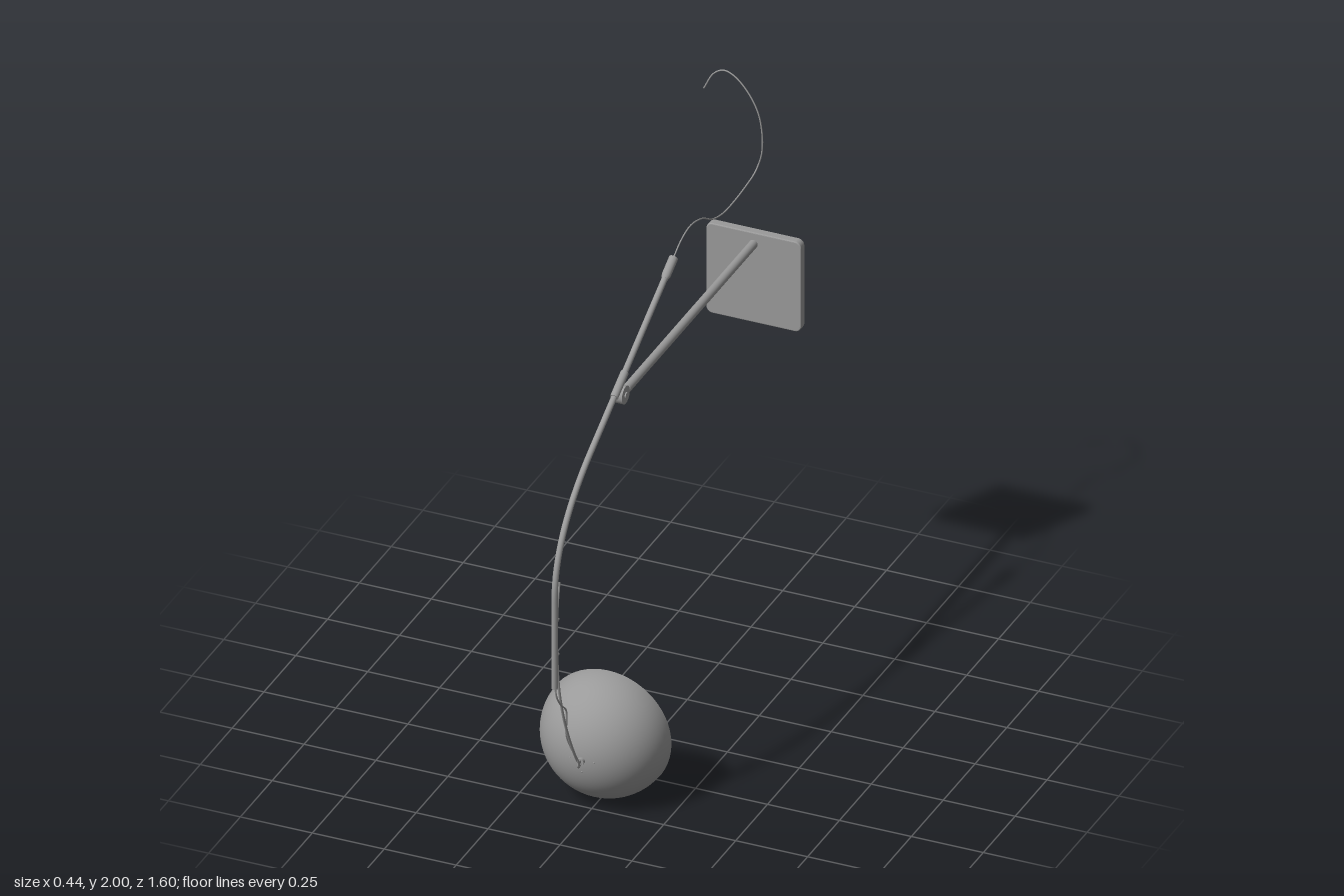
import * as THREE from 'three';

const material = new THREE.MeshStandardMaterial({ color: 0x9a9a9a });
const V = (x, y, z) => new THREE.Vector3(x, y, z);

export function createModel() {
  const model = new THREE.Group();
  const add = (name, geometry, parent = model) => {
    const mesh = new THREE.Mesh(geometry, material);
    mesh.name = name;
    parent.add(mesh);
    return mesh;
  };
  // Round bar between two points
  const rod = (name, a, b, r, r2 = r, sides = 20) => {
    const mesh = add(name, new THREE.CylinderGeometry(r2, r, a.distanceTo(b), sides));
    mesh.position.copy(a).add(b).multiplyScalar(0.5);
    mesh.quaternion.setFromUnitVectors(V(0, 1, 0), b.clone().sub(a).normalize());
  };
  // Smooth wire through [x, y, z] points
  const wire = (name, points, r, segments = 80) =>
    add(name, new THREE.TubeGeometry(new THREE.CatmullRomCurve3(points.map(p => V(...p))), segments, r, 8));

  // Wall plate with rounded corners
  const w = 0.165, c = 0.022, plate = new THREE.Shape();
  plate.absarc(w - c, w - c, c, 0, Math.PI / 2);
  plate.absarc(c - w, w - c, c, Math.PI / 2, Math.PI);
  plate.absarc(c - w, c - w, c, Math.PI, Math.PI * 1.5);
  plate.absarc(w - c, c - w, c, Math.PI * 1.5, Math.PI * 2);
  add('wallPlate', new THREE.ExtrudeGeometry(plate, {
    depth: 0.022, bevelThickness: 0.004, bevelSize: 0.004, bevelOffset: -0.004, bevelSegments: 3, curveSegments: 8,
  })).position.set(0, 1.276, -0.796);

  // Horizontal arm and its pivot
  rod('wallArm', V(0, 1.4, -0.775), V(0, 1.4, 0.225), 0.0148);
  rod('armTip', V(0, 1.4, 0.225), V(0, 1.4, 0.245), 0.0148, 0.009);
  rod('pivotDisc', V(-0.014, 1.4, 0.264), V(0.014, 1.4, 0.264), 0.031, 0.031, 32);
  rod('pivotBolt', V(-0.018, 1.4, 0.264), V(0.018, 1.4, 0.264), 0.01);

  // Bent boom: vertical drop, wide bend, straight slope
  const boomEnd = V(0, 1.677, -0.13), bendTop = V(0, 1.316, 0.51), bendLow = V(0, 0.92, 0.792);
  const boom = new THREE.CurvePath();
  boom.add(new THREE.LineCurve3(V(0, 0.6, 0.792), bendLow));
  boom.add(new THREE.CubicBezierCurve3(bendLow, V(0, 1.1, 0.792), V(0, 1.225, 0.67), bendTop));
  boom.add(new THREE.LineCurve3(bendTop, boomEnd));
  add('boom', new THREE.TubeGeometry(boom, 120, 0.0102, 14));
  rod('boomFoot', V(0, 0.599, 0.792), V(0, 0.605, 0.792), 0.0102);
  const onSlope = t => bendTop.clone().lerp(boomEnd, t);
  rod('boomSleeve', onSlope(0.29), onSlope(0.42), 0.0135);
  rod('boomGrip', onSlope(0.93), onSlope(1.02), 0.015);
  rod('gripCollar', onSlope(0.91), onSlope(0.93), 0.011, 0.015);

  // Power cord trailing to the wall, then curling up it
  wire('powerCord', [
    [0, 1.684, -0.14], [0, 1.717, -0.2], [0, 1.732, -0.27], [0, 1.712, -0.36], [0, 1.663, -0.45],
    [0, 1.641, -0.53], [0, 1.638, -0.62], [0, 1.646, -0.72], [0, 1.655, -0.775], [0.004, 1.675, -0.797],
    [0.016, 1.72, -0.798], [0.018, 1.79, -0.798], [0.003, 1.87, -0.798], [-0.035, 1.94, -0.798],
    [-0.08, 1.985, -0.798], [-0.115, 1.997, -0.798], [-0.15, 1.978, -0.798], [-0.185, 1.915, -0.798],
  ], 0.0025, 160);

  // Springy stem carrying the shade, clipped to the boom
  wire('shadeStem', [
    [0, 0.972, 0.755], [0, 0.9, 0.768], [0, 0.8, 0.775], [0, 0.7, 0.772], [0, 0.58, 0.758],
    [0, 0.46, 0.724], [0, 0.35, 0.677], [0, 0.26, 0.628], [0, 0.22, 0.6],
  ], 0.0045);
  for (const y of [0.84, 0.712]) {
    rod('stemClip', V(0, y, 0.792), V(0, y, 0.764), 0.005);
  }
  wire('lampCord', [
    [0, 0.605, 0.79], [0.002, 0.56, 0.78], [0.005, 0.52, 0.755], [0.007, 0.48, 0.718], [0.002, 0.43, 0.703],
    [-0.006, 0.37, 0.687], [-0.004, 0.31, 0.657], [0.003, 0.25, 0.622], [0.003, 0.215, 0.604], [0, 0.22, 0.575],
  ], 0.003);
  const eye = add('stemEye', new THREE.TorusGeometry(0.01, 0.0035, 8, 24));
  eye.position.set(0, 0.217, 0.6);
  eye.rotation.y = Math.PI / 2;

  // Thin hemispherical shade opening to the back
  const lamp = new THREE.Group();
  lamp.name = 'lampHead';
  lamp.position.set(0, 0.22, 0.37);
  lamp.rotation.x = Math.PI / 2;
  model.add(lamp);
  const R = 0.2195, inner = 0.2155, N = 28;
  const dome = (radius, depth) => Array.from({ length: N + 1 }, (_, i) => {
    const a = (i / N) * Math.PI / 2;
    return new THREE.Vector2(radius * Math.sin(a), depth * Math.cos(a));
  });
  add('shadeInside', new THREE.LatheGeometry(dome(inner, 0.206), 56), lamp);
  add('shadeOutside', new THREE.LatheGeometry(dome(R, 0.2115).reverse(), 56), lamp);
  add('shadeRim', new THREE.RingGeometry(inner, R, 56), lamp).rotation.x = Math.PI / 2;

  // Lamp holder and bulb inside the shade
  const part = (name, r1, r2, y0, y1) => {
    add(name, new THREE.CylinderGeometry(r2, r1, y1 - y0, 24), lamp).position.y = (y0 + y1) / 2;
  };
  part('holderCap', 0.012, 0.012, 0.195, 0.222);
  part('holderBase', 0.024, 0.024, 0.165, 0.208);
  part('holderSocket', 0.022, 0.022, 0.125, 0.165);
  const bulb = [[0, 0.045], [0.009, 0.047], [0.014, 0.055], [0.014, 0.11], [0.017, 0.128]];
  add('bulb', new THREE.LatheGeometry(bulb.map(p => new THREE.Vector2(...p)), 20), lamp);

  // Small screws around the shade's crown
  for (let i = 0; i < 3; i++) {
    const a = (i * Math.PI) / 2;
    add('shadeScrew', new THREE.SphereGeometry(0.003, 10, 8), lamp)
      .position.set(0.042 * Math.cos(a), 0.2065, 0.042 * Math.sin(a));
  }
  return model;
}
